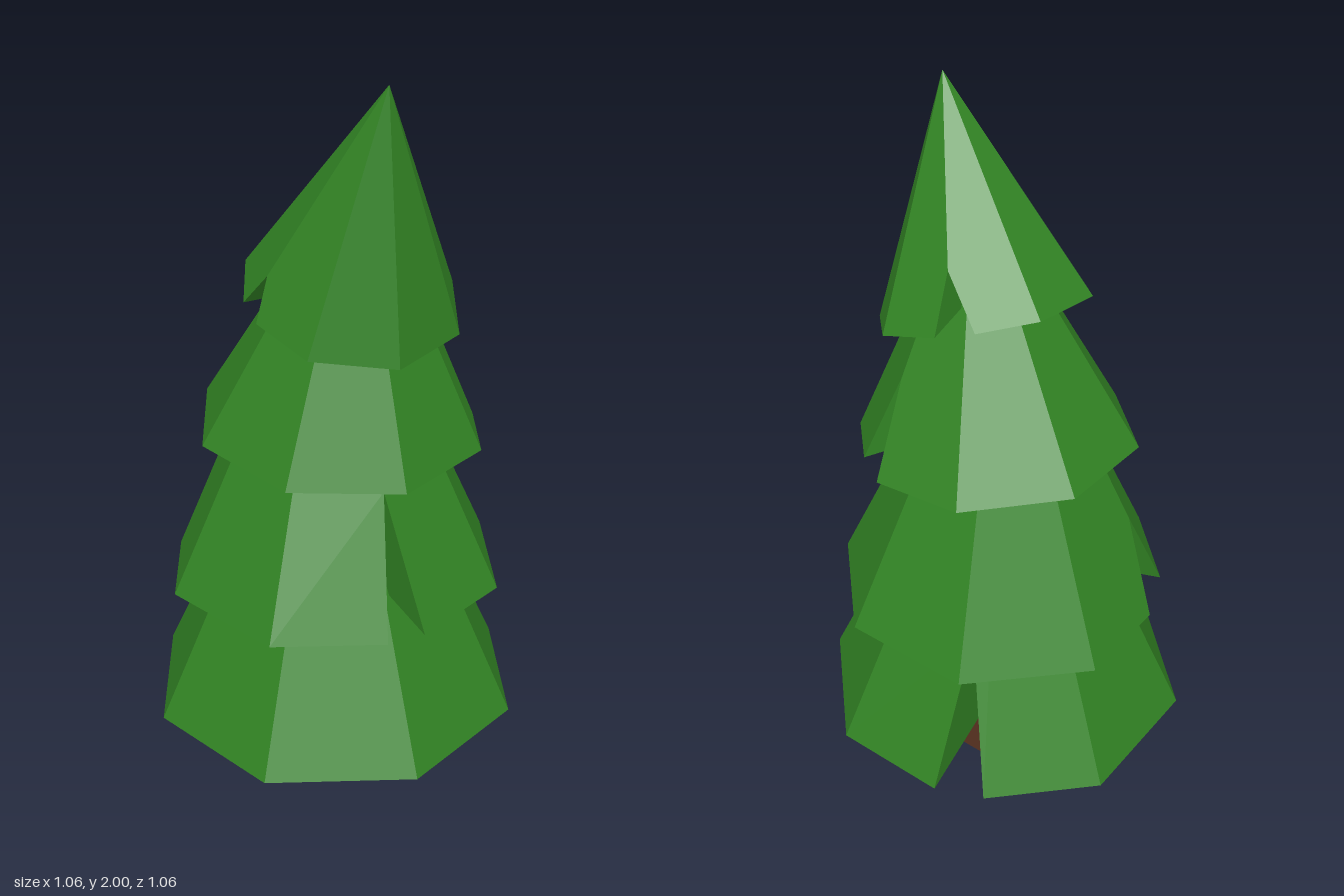
import * as THREE from 'three';

const SIDES = 8;
const RAD = Math.PI / 180;

// One tier of branches: an eight-sided cone, leaning forward, hollow below, with wedges cut into some ridges.
// A notch is { at: ridge index, before/after: degrees cut either side, up: how far it climbs the ridge }.
function tierGeometry({ y, z, radius, tilt, apex, notches }) {
  const top = new THREE.Vector3(0, apex[0], apex[1]);
  const place = (deg, r, lift = 0) =>
    new THREE.Vector3(Math.sin(deg * RAD) * r, lift, Math.cos(deg * RAD) * r)
      .applyAxisAngle(new THREE.Vector3(1, 0, 0), tilt * RAD)
      .add(new THREE.Vector3(0, y, z));
  // point on the straight rim between two corners
  const onRim = (deg, offset) =>
    place(deg + offset, radius * Math.cos(22.5 * RAD) / Math.cos((22.5 - Math.abs(offset)) * RAD));

  const corners = Array.from({ length: SIDES }, (_, i) => {
    const deg = i * 360 / SIDES;
    const notch = notches.find((n) => n.at === i);
    const corner = place(deg, radius);
    const inner = place(deg, radius * 0.53, radius * 0.15);
    if (!notch) return { before: corner, after: corner, inner };
    return {
      before: onRim(deg, -notch.before),
      after: onRim(deg, notch.after),
      peak: corner.clone().lerp(top, notch.up),
      inner,
    };
  });

  const positions = [];
  const polygon = (...points) => {
    const p = points.filter(Boolean);
    for (let i = 1; i < p.length - 1; i++)
      for (const v of [p[0], p[i], p[i + 1]]) positions.push(v.x, v.y, v.z);
  };
  const centre = place(0, 0, radius * 0.17);
  corners.forEach((a, i) => {
    const b = corners[(i + 1) % SIDES];
    polygon(a.after, b.before, b.peak, top, a.peak); // sloping side
    polygon(b.before, a.after, a.inner, b.inner); // underside
    polygon(b.inner, a.inner, centre);
    if (a.peak) { // walls of the notch
      polygon(a.before, a.inner, a.peak);
      polygon(a.inner, a.after, a.peak);
    }
  });

  const geometry = new THREE.BufferGeometry();
  geometry.setAttribute('position', new THREE.Float32BufferAttribute(positions, 3));
  geometry.computeVertexNormals();
  return geometry;
}

export function createModel() {
  const tree = new THREE.Group();
  tree.name = 'pineTree';
  const bark = new THREE.MeshStandardMaterial({ color: 0x55301f, flatShading: true });
  const needles = new THREE.MeshStandardMaterial({ color: 0x328424, flatShading: true });

  // Tapered trunk
  const trunk = new THREE.Mesh(new THREE.CylinderGeometry(0.095, 0.17, 0.32, SIDES), bark);
  trunk.name = 'trunk';
  trunk.position.y = 0.16;
  tree.add(trunk);

  // Branch tiers from bottom to top; apex is [y, z]
  const tiers = [
    { y: 0.21, z: 0, radius: 0.532, tilt: 0, apex: [1.35, 0],
      notches: [{ at: 3, before: 8, after: 8, up: 0.38 }] },
    { y: 0.61, z: 0, radius: 0.477, tilt: 0, apex: [1.61, 0],
      notches: [{ at: 0, before: 7, after: 6.3, up: 0.36 }, { at: 5, before: 11, after: 10, up: 0.26 }] },
    { y: 1.063, z: 0.04, radius: 0.392, tilt: 5.5, apex: [1.79, 0.143],
      notches: [{ at: 2, before: 16, after: 5, up: 0.34 }] },
    { y: 1.432, z: 0.102, radius: 0.2925, tilt: 18.4, apex: [2, 0.295],
      notches: [{ at: 3, before: 9.5, after: 12, up: 0.25 }, { at: 6, before: 9, after: 9, up: 0.18 }] },
  ];
  tiers.forEach((tier, i) => {
    const mesh = new THREE.Mesh(tierGeometry(tier), needles);
    mesh.name = `branchTier${i + 1}`;
    tree.add(mesh);
  });
  return tree;
}
